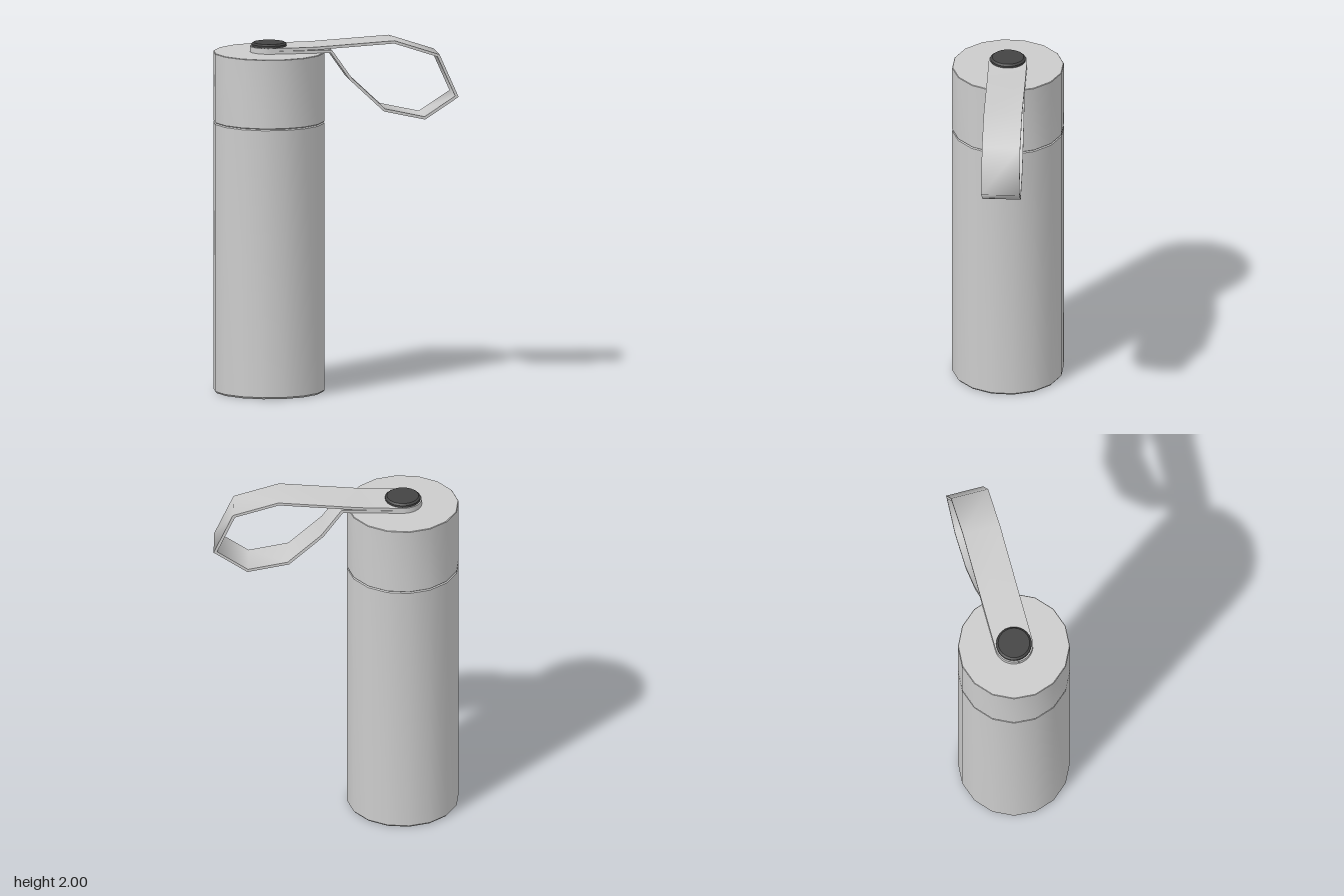
import * as THREE from 'three';
import { toCreasedNormals } from 'three/addons/utils/BufferGeometryUtils.js';

const grey = new THREE.MeshStandardMaterial({ color: 0xcccccc });
const dark = new THREE.MeshStandardMaterial({ color: 0x444444 });

// Turned part from [radius, height] pairs, listed bottom to top
function turned(name, profile, sides, material) {
  const points = profile.map(([r, y]) => new THREE.Vector2(r, y));
  const geometry = toCreasedNormals(new THREE.LatheGeometry(points, sides), 0.6);
  const mesh = new THREE.Mesh(geometry, material);
  mesh.name = name;
  return mesh;
}

// Strap swept along stations [u, y, halfWidth] on its outer face, thickened inward
function ribbon(stations, thickness) {
  const outer = stations.map(([u, y]) => new THREE.Vector2(u, y));
  const normalOf = (a, b) => new THREE.Vector2(a.y - b.y, b.x - a.x).normalize();
  const last = outer.length - 1;
  const rings = stations.map(([u, y, w], i) => {
    const before = normalOf(outer[Math.max(i - 1, 0)], outer[Math.max(i, 1)]);
    const after = normalOf(outer[Math.min(i, last - 1)], outer[Math.min(i + 1, last)]);
    const miter = before.clone().add(after).normalize();
    const d = thickness / Math.max(miter.dot(before), 0.5);
    const iu = u - miter.x * d, iy = y - miter.y * d;
    return [[u, y, w], [u, y, -w], [iu, iy, -w], [iu, iy, w]];
  });
  // Each of the four sides has its own vertices, so the long edges stay sharp
  const positions = [], indices = [];
  for (let side = 0; side < 4; side++) {
    const base = positions.length / 3;
    rings.forEach((ring, i) => {
      positions.push(...ring[side], ...ring[(side + 1) % 4]);
      if (i === last) return;
      const a = base + i * 2;
      indices.push(a, a + 2, a + 1, a + 1, a + 2, a + 3);
    });
  }
  const geometry = new THREE.BufferGeometry();
  geometry.setAttribute('position', new THREE.Float32BufferAttribute(positions, 3));
  geometry.setIndex(indices);
  geometry.computeVertexNormals();
  return geometry;
}

export function createModel() {
  const model = new THREE.Group();
  model.name = 'bottle';
  model.position.set(-0.373, 0, 0.03);

  // Body and lid, with fine bevels at the base and the seam
  const R = 0.316;
  model.add(turned('body', [[0, 0], [R - 0.008, 0], [R, 0.01], [R, 1.535], [R - 0.007, 1.541], [0, 1.541]], 16, grey));
  model.add(turned('lid', [[0, 1.541], [R - 0.006, 1.541], [R, 1.546], [R, 1.936], [R - 0.003, 1.939], [0, 1.939]], 16, grey));

  // Carrying strap: rounded tab, out around the loop, back to a second tab below
  const strap = new THREE.Group();
  strap.name = 'strap';
  strap.rotation.y = THREE.MathUtils.degToRad(15);
  const half = 0.108;
  const tab = (y) => Array.from({ length: 9 }, (_, i) => {
    const a = (i / 8) * Math.PI / 2;
    return [-half * Math.cos(a), y, Math.max(half * Math.sin(a), 0.001)];
  });
  const loop = [
    [0.25, 1.974], [0.70, 2.0], [0.957, 1.915], [1.066, 1.67], [0.875, 1.545],
    [0.64, 1.597], [0.446, 1.78], [0.335, 1.939],
  ].map(([u, y]) => [u, y, half]);
  const stations = [...tab(1.971), ...loop, ...tab(1.939).reverse()];
  const strapMaterial = grey.clone();
  strapMaterial.side = THREE.DoubleSide;
  const band = new THREE.Mesh(ribbon(stations, 0.016), strapMaterial);
  band.name = 'strapBand';
  strap.add(band);
  model.add(strap);

  // Rivet that holds the strap to the lid
  model.add(turned('rivet', [[0, 1.94], [0.1, 1.94], [0.1, 1.983], [0.089, 1.992], [0, 1.992]], 24, dark));

  const root = new THREE.Group();
  root.add(model);
  return root;
}
